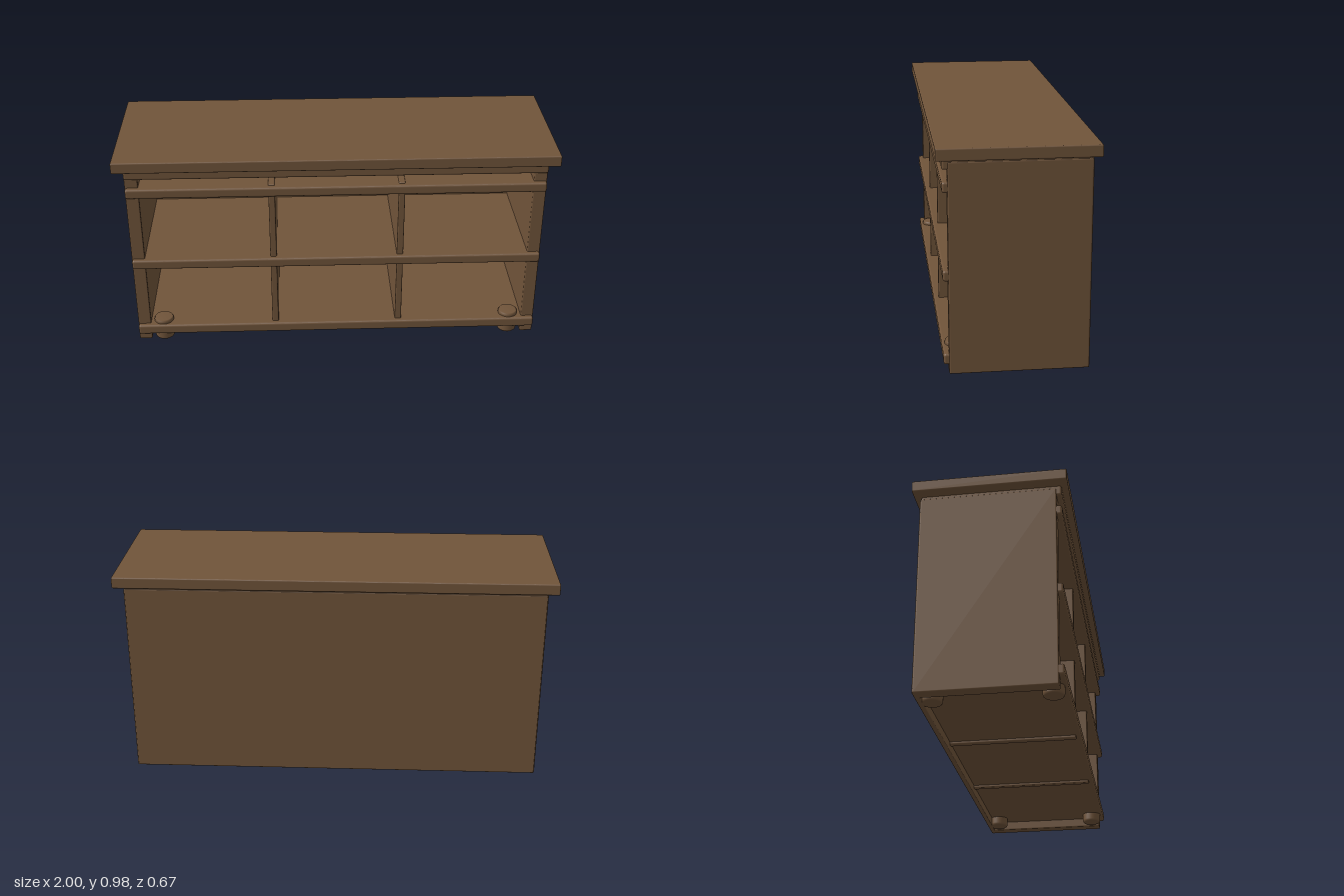
import * as THREE from 'three';
import { RoundedBoxGeometry } from 'three/addons/geometries/RoundedBoxGeometry.js';

export function createModel() {
  const group = new THREE.Group();
  const wood = new THREE.MeshStandardMaterial({ color: 0x70543a });

  // board with softened edges, given by its minimum and maximum corners
  function board(name, [x0, y0, z0], [x1, y1, z1], radius = 0.006) {
    const geometry = new RoundedBoxGeometry(x1 - x0, y1 - y0, z1 - z0, 2, radius);
    const mesh = new THREE.Mesh(geometry, wood);
    mesh.name = name;
    mesh.position.set((x0 + x1) / 2, (y0 + y1) / 2, (z0 + z1) / 2);
    group.add(mesh);
  }

  // overhanging top
  board('tabletop', [-1, 0.928, -0.335], [1, 0.98, 0.335]);

  // back panel
  board('backPanel', [-0.952, 0, -0.308], [0.952, 0.915, -0.285], 0.004);

  // full-depth shelves whose rounded fronts stand proud of the sides
  const shelves = [
    ['bottomShelf', 0.042, 0.09],
    ['middleShelf', 0.41, 0.456],
    ['upperShelf', 0.785, 0.831],
    ['topPanel', 0.881, 0.929],
  ];
  for (const [name, y0, y1] of shelves) {
    board(name, [-0.953, y0, -0.303], [0.953, y1, 0.308], 0.01);
  }

  // foot profile with eased rims
  const footProfile = [
    [0, 0], [0.04, 0], [0.044, 0.004], [0.046, 0.012], [0.046, 0.096],
    [0.044, 0.104], [0.04, 0.108], [0, 0.108],
  ].map(([r, y]) => new THREE.Vector2(r, y));
  const footGeometry = new THREE.LatheGeometry(footProfile, 32);

  for (const s of [-1, 1]) {
    const side = s > 0 ? 'left' : 'right';

    // outer side wall
    const a = s * 0.895, b = s * 0.955;
    board(side + 'Side', [Math.min(a, b), 0, -0.305], [Math.max(a, b), 0.914, 0.285]);

    // upright divider, its ends passing through the shelves
    board(side + 'Divider', [s * 0.296 - 0.015, 0.03, -0.295], [s * 0.296 + 0.015, 0.836, 0.285]);

    // feet
    for (const z of [-0.25, 0.25]) {
      const foot = new THREE.Mesh(footGeometry, wood);
      foot.name = side + (z > 0 ? 'FrontFoot' : 'BackFoot');
      foot.position.set(s * 0.835, 0, z);
      group.add(foot);
    }
  }

  return group;
}
